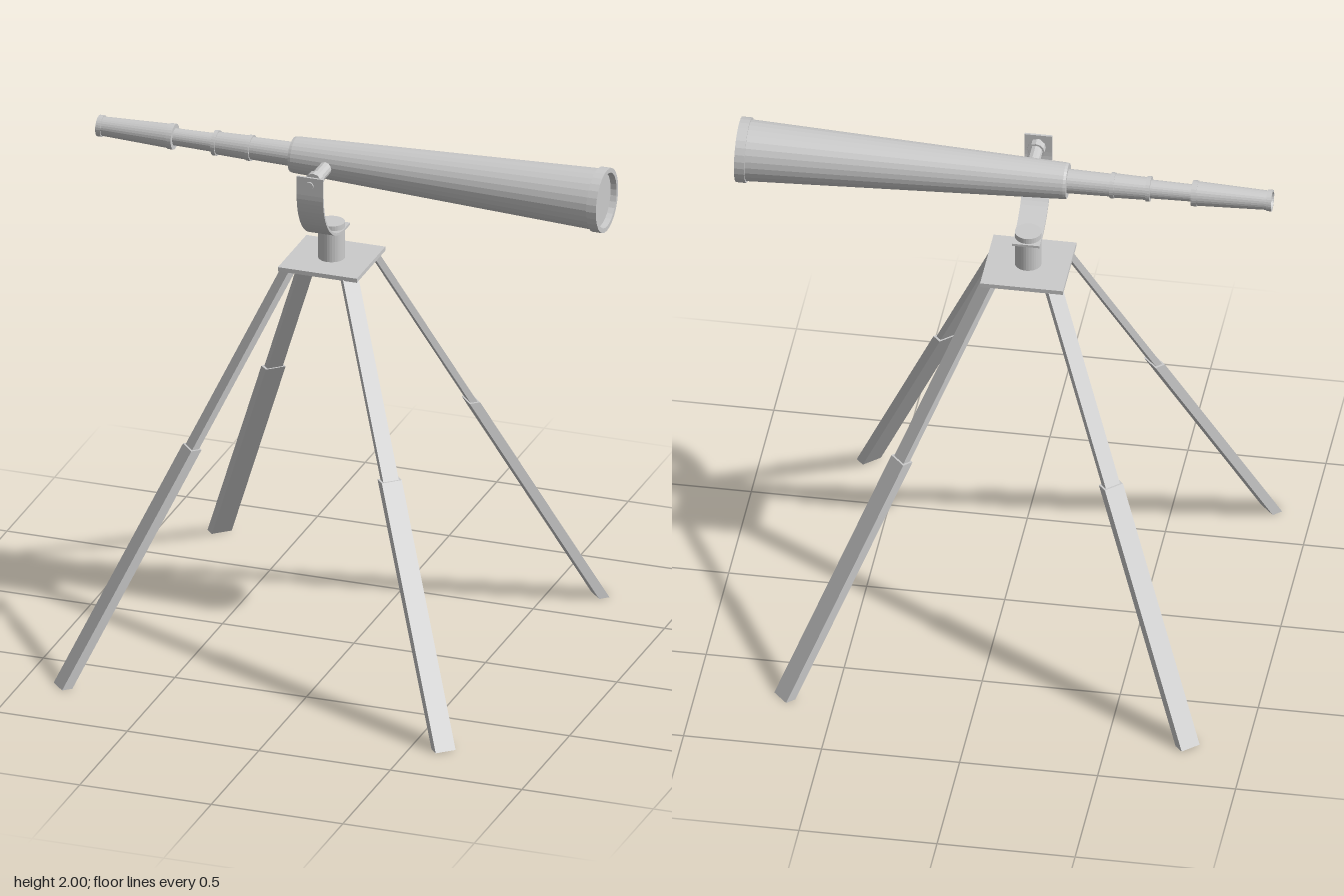
import * as THREE from 'three';

const material = new THREE.MeshStandardMaterial({ color: 0xcccccc, flatShading: true });
const CX = -0.085; // tripod axis
const AXIS_Y = 1.88; // optical axis height

function add(parent, name, geometry, x = 0, y = 0, z = 0) {
  const mesh = new THREE.Mesh(geometry, material);
  mesh.name = name;
  mesh.position.set(x, y, z);
  parent.add(mesh);
  return mesh;
}

// Leaning leg section with horizontal ends; the centre line follows one slope
function legSection(y0, y1, thickness, width) {
  const radiusAt = (y) => 1.04 - 0.589 * y;
  const geometry = new THREE.BoxGeometry(thickness, y1 - y0, width);
  geometry.translate(0, (y0 + y1) / 2, 0);
  const p = geometry.attributes.position;
  for (let i = 0; i < p.count; i++) p.setX(i, p.getX(i) + radiusAt(p.getY(i)));
  geometry.computeVertexNormals();
  return geometry;
}

// Cylinder lying along z
function rod(radius, z0, z1, sides) {
  return new THREE.CylinderGeometry(radius, radius, z1 - z0, sides)
    .rotateX(Math.PI / 2).translate(0, 0, (z0 + z1) / 2);
}

export function createModel() {
  const model = new THREE.Group();
  model.name = 'telescopeOnTripod';

  // Four two-stage legs
  for (let i = 0; i < 4; i++) {
    const leg = new THREE.Group();
    leg.name = 'leg';
    leg.position.x = CX;
    leg.rotation.y = 0.742 + i * Math.PI / 2;
    add(leg, 'lowerLeg', legSection(0, 0.85, 0.04, 0.077));
    add(leg, 'upperLeg', legSection(0.84, 1.488, 0.027, 0.06));
    model.add(leg);
  }

  // Platform and swivel post
  add(model, 'platform', new THREE.BoxGeometry(0.3, 0.016, 0.3), CX, 1.492, 0);
  add(model, 'post', new THREE.CylinderGeometry(0.048, 0.048, 0.14, 32), CX, 1.57, 0);

  // Curved bracket strip, drawn in the z-y plane and extruded across x
  const strip = new THREE.Shape();
  strip.moveTo(-0.055, 1.61);
  strip.lineTo(0, 1.61);
  strip.absellipse(0, 1.835, 0.23, 0.225, -Math.PI / 2, 0, false, 0);
  strip.lineTo(0.23, 1.905);
  strip.lineTo(0.221, 1.905);
  strip.lineTo(0.221, 1.835);
  strip.absellipse(0, 1.835, 0.221, 0.216, 0, -Math.PI / 2, true, 0);
  strip.lineTo(-0.055, 1.619);
  const stripGeometry = new THREE.ExtrudeGeometry(strip, { depth: 0.1, bevelEnabled: false, curveSegments: 10 });
  add(model, 'bracket', stripGeometry, CX + 0.05, 0, 0).rotation.y = -Math.PI / 2;

  // Pivot between bracket and tube
  const pivot = new THREE.Group();
  pivot.name = 'pivot';
  pivot.position.set(CX, 1.875, 0);
  add(pivot, 'pivotArm', rod(0.025, 0.04, 0.17, 12));
  add(pivot, 'pivotCollar', rod(0.032, 0.165, 0.195, 12));
  add(pivot, 'pivotBolt', rod(0.015, 0.19, 0.236, 12));
  model.add(pivot);

  // Telescope profile as [x, radius], from eyepiece to objective
  const profile = [
    [-0.96, 0], [-0.96, 0.03], [-0.97, 0.032], [-0.97, 0.039], [-0.952, 0.039], [-0.952, 0.035],
    [-0.7, 0.044], [-0.7, 0.047], [-0.68, 0.047], [-0.68, 0.031],
    [-0.53, 0.034], [-0.53, 0.046], [-0.515, 0.046], [-0.515, 0.041],
    [-0.4, 0.044], [-0.4, 0.047], [-0.385, 0.047], [-0.385, 0.041],
    [-0.23, 0.044], [-0.23, 0.064], [-0.22, 0.066],
    [0.925, 0.111], [0.925, 0.118], [0.962, 0.118], [0.962, 0.101], [0.94, 0.099], [0.94, 0],
  ].map(([x, r]) => new THREE.Vector2(r, x));
  const tube = add(model, 'telescopeTube', new THREE.LatheGeometry(profile, 28), 0, AXIS_Y, 0);
  tube.rotation.z = -Math.PI / 2;

  return model;
}
